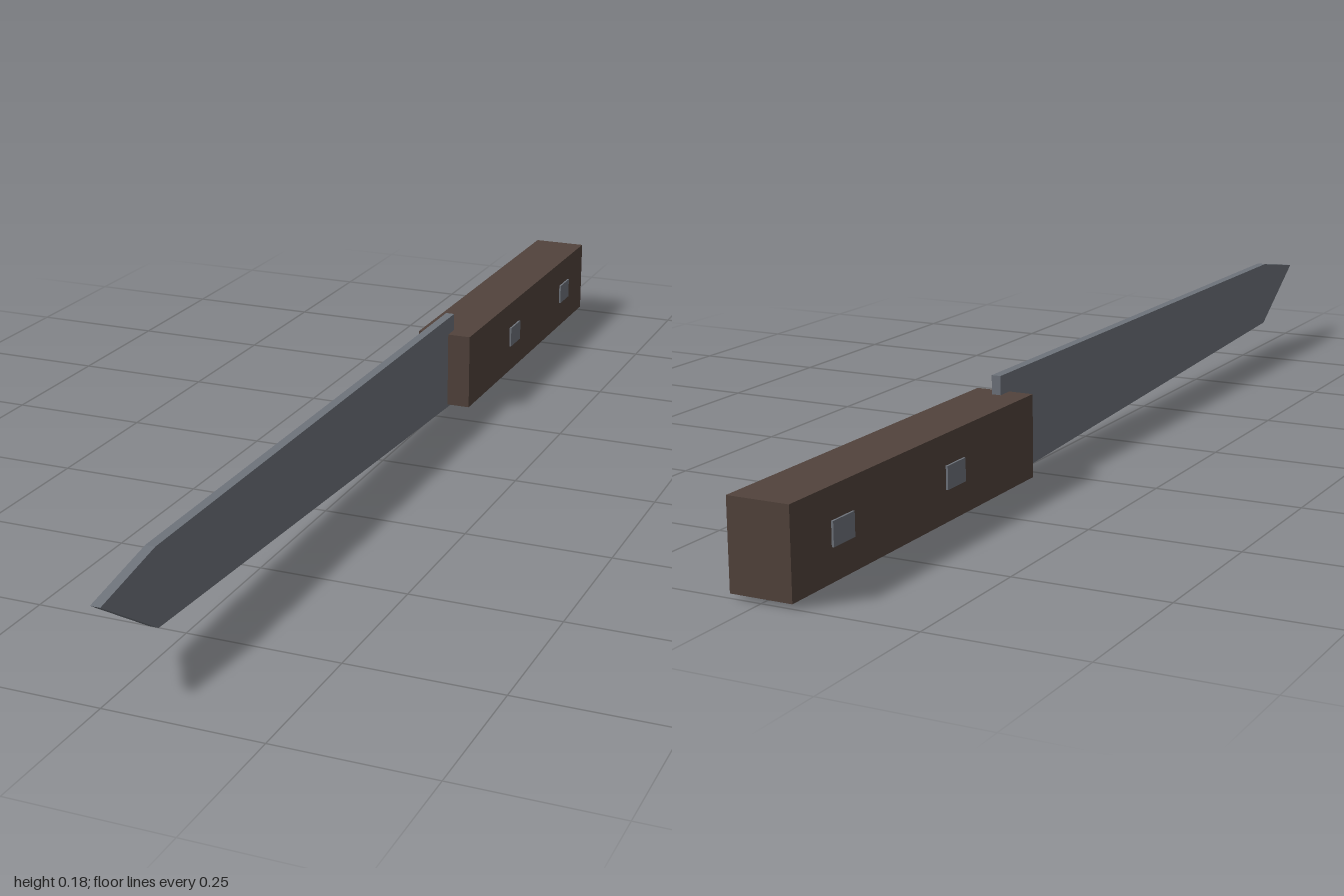
import * as THREE from 'three';

export function createModel() {
  const model = new THREE.Group();
  model.name = 'knife';

  const steel = new THREE.MeshStandardMaterial({ color: 0x6e737b });
  steel.name = 'steel grey';
  const wood = new THREE.MeshStandardMaterial({ color: 0x52433c });
  wood.name = 'dark brown wood';

  const add = (name, geometry, material, x = 0, y = 0, z = 0) => {
    const mesh = new THREE.Mesh(geometry, material);
    mesh.name = name;
    mesh.position.set(x, y, z);
    model.add(mesh);
  };

  // Blade: side profile drawn as (z, y), extruded to its thickness
  const thickness = 0.016;
  const profile = [[-0.33, 0], [0.845, 0.053], [1, 0.153], [0.845, 0.179], [-0.33, 0.179]];
  const shape = new THREE.Shape(profile.map(([z, y]) => new THREE.Vector2(z, y)));
  const blade = new THREE.ExtrudeGeometry(shape, { depth: thickness, bevelEnabled: false });
  blade.translate(0, 0, -thickness / 2);
  blade.rotateY(-Math.PI / 2);
  add('blade', blade, steel);

  // Handle: plain block that grips the heel of the blade
  add('handle', new THREE.BoxGeometry(0.102, 0.14, 0.7), wood, 0, 0.077, -0.65);

  // Two square rivets passing through the handle
  for (const z of [-0.557, -0.873]) {
    add('rivet', new THREE.BoxGeometry(0.109, 0.038, 0.055), steel, 0, 0.078, z);
  }

  return model;
}
